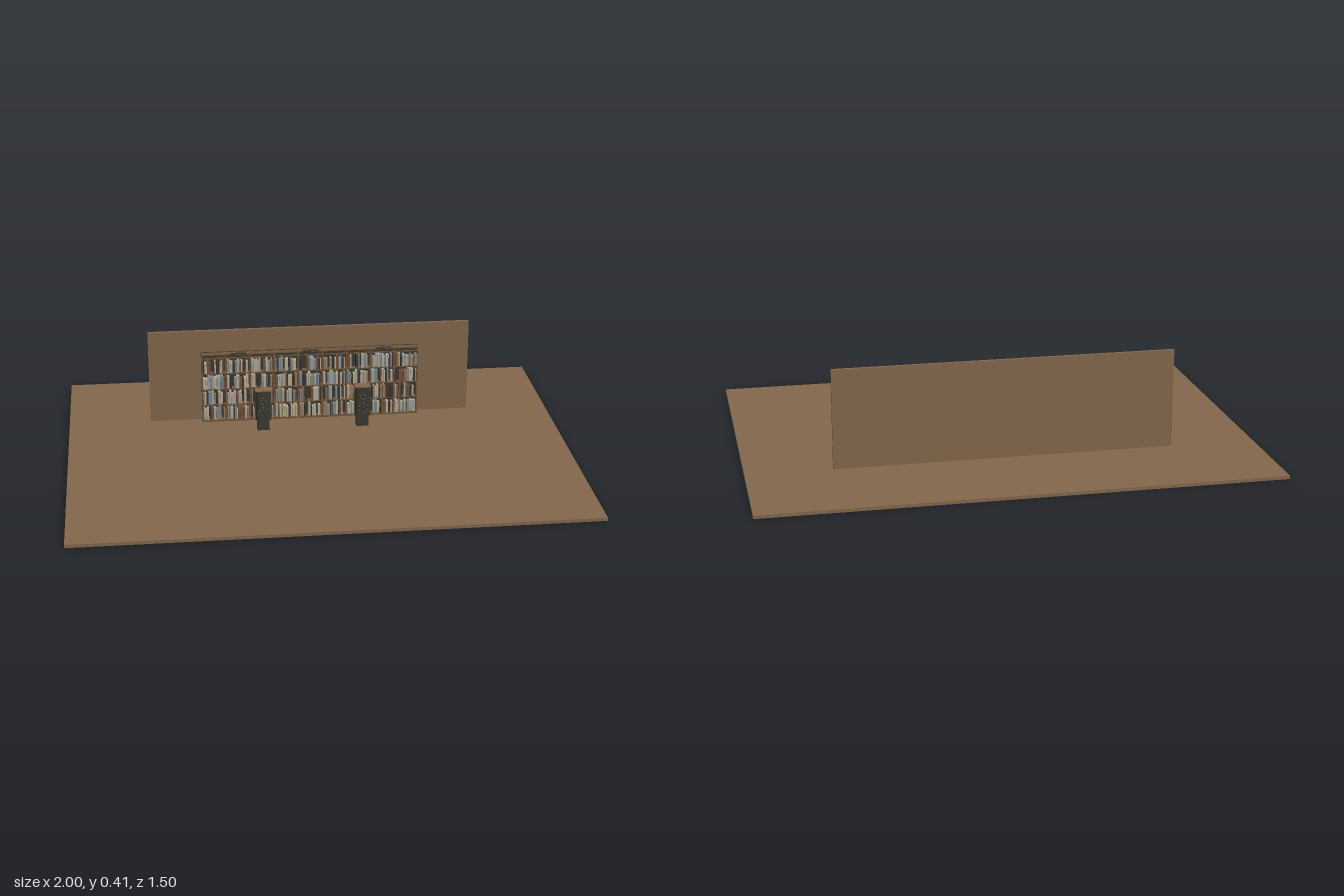
import * as THREE from 'three';
import { mergeGeometries } from 'three/addons/utils/BufferGeometryUtils.js';

const paint = (name, color) => {
  const m = new THREE.MeshStandardMaterial({ color });
  m.name = name;
  return m;
};

export function createModel() {
  const root = new THREE.Group();
  root.name = 'listeningRoom';
  const wood = paint('wood', 0x84684c);
  const shelfWood = paint('shelf wood', 0x765639);
  const dark = paint('charcoal', 0x3a3a32);
  const metal = paint('pale metal', 0xc8c8c0);
  const bookPaints = [
    paint('cream', 0xb9ab93), paint('grey blue', 0x7d8a8f), paint('leather brown', 0x75503a),
    paint('dark cloth', 0x3b3732), paint('light grey', 0xa3a199), paint('tan', 0x937859),
  ];

  const add = (parent, name, geo, mat, x = 0, y = 0, z = 0) => {
    const mesh = new THREE.Mesh(geo, mat);
    mesh.name = name;
    mesh.position.set(x, y, z);
    parent.add(mesh);
    return mesh;
  };
  // Box given by its minimum and maximum corners
  const span = (parent, name, mat, x0, x1, y0, y1, z0, z1) =>
    add(parent, name, new THREE.BoxGeometry(x1 - x0, y1 - y0, z1 - z0), mat,
      (x0 + x1) / 2, (y0 + y1) / 2, (z0 + z1) / 2);

  // Room
  const floorY = 0.013;
  span(root, 'floor', wood, -1, 1, 0, floorY, -0.75, 0.75);
  span(root, 'wall', wood, -0.665, 0.665, floorY, 0.405, -0.336, -0.323);

  // Bookcase frame: nine bays, four rows
  const shelves = new THREE.Group();
  shelves.name = 'bookcase';
  root.add(shelves);
  const bays = 9, rows = 4, bayW = 0.1, left = -0.45;
  const backZ = -0.323, frontZ = -0.289, firstY = 0.022, rowH = 0.069;
  span(shelves, 'backPanel', dark, left, -left, floorY, 0.312, backZ, -0.312);
  span(shelves, 'plinth', shelfWood, left, -left, floorY, firstY, -0.312, frontZ);
  span(shelves, 'cornice', dark, left, -left, 0.298, 0.308, -0.312, -0.291);
  span(shelves, 'topBoard', shelfWood, left, -left, 0.308, 0.313, -0.312, frontZ);
  for (let i = 0; i <= bays; i++) {
    const x = Math.max(left + 0.003, Math.min(-left - 0.003, left + i * bayW));
    span(shelves, 'upright', shelfWood, x - 0.003, x + 0.003, floorY, 0.314, -0.312, frontZ + 0.001);
  }
  for (let r = 1; r <= rows; r++) {
    const y = firstY + r * rowH;
    span(shelves, 'shelfBoard', shelfWood, left, -left, y - 0.005, y, -0.312, frontZ);
  }

  // Books, merged by cover colour
  let seed = 7;
  const rand = () => (seed = (seed * 16807) % 2147483647) / 2147483647;
  const piles = bookPaints.map(() => []);
  const weights = [0, 0, 0, 1, 1, 2, 2, 3, 3, 4, 4, 5];
  for (let b = 0; b < bays; b++) {
    for (let r = 0; r < rows; r++) {
      const end = left + (b + 1) * bayW - 0.005;
      let x = left + b * bayW + 0.005;
      while (x < end - 0.004) {
        const w = Math.min(0.005 + rand() * 0.006, end - x);
        const h = 0.042 + rand() * 0.016;
        const front = -0.294 + rand() * 0.009;
        const depth = front + 0.312;
        const colour = weights[Math.floor(rand() * weights.length)];
        if (rand() > 0.07) {
          const g = new THREE.BoxGeometry(w - 0.0007, h, depth);
          g.translate(x + w / 2, firstY + r * rowH + h / 2, front - depth / 2);
          piles[colour].push(g);
        }
        x += w;
      }
    }
  }
  piles.forEach((p, i) => add(shelves, 'books', mergeGeometries(p), bookPaints[i]));

  // Slim lamps over the bookcase
  for (const x of [-0.3, 0, 0.3]) {
    const lamp = new THREE.Group();
    lamp.name = 'shelfLamp';
    root.add(lamp);
    const bar = add(lamp, 'lampBar', new THREE.CylinderGeometry(0.003, 0.003, 0.065, 10), dark, x, 0.319, -0.277);
    bar.rotation.z = Math.PI / 2;
    span(lamp, 'lampArm', dark, x - 0.0015, x + 0.0015, 0.313, 0.317, -0.3, -0.277);
  }

  // Speaker cabinet outline with rounded corners, seen from above
  const hw = 0.032, zb = -0.223, zf = -0.176, rad = 0.009;
  const outline = new THREE.Shape();
  outline.moveTo(-hw, -zf);
  outline.lineTo(-hw, -zb - rad);
  outline.quadraticCurveTo(-hw, -zb, -hw + rad, -zb);
  outline.lineTo(hw - rad, -zb);
  outline.quadraticCurveTo(hw, -zb, hw, -zb - rad);
  outline.lineTo(hw, -zf);
  outline.closePath();
  // Curved front baffle
  const baffle = new THREE.Shape();
  baffle.moveTo(-hw, -zf);
  baffle.lineTo(hw, -zf);
  baffle.quadraticCurveTo(hw - 0.004, -zf - 0.007, hw - 0.014, -zf - 0.008);
  baffle.lineTo(-hw + 0.014, -zf - 0.008);
  baffle.quadraticCurveTo(-hw + 0.004, -zf - 0.007, -hw, -zf);
  const raise = (shape, height) => new THREE.ExtrudeGeometry(shape,
    { depth: height, bevelEnabled: false, curveSegments: 8 }).rotateX(-Math.PI / 2);

  for (const side of [-1, 1]) {
    const speaker = new THREE.Group();
    speaker.name = side > 0 ? 'leftSpeaker' : 'rightSpeaker';
    speaker.position.x = side * 0.205;
    root.add(speaker);
    span(speaker, 'stand', dark, -0.025, 0.025, floorY, 0.063, -0.218, -0.181);
    add(speaker, 'cabinet', raise(outline, 0.124), wood, 0, 0.063, 0);
    add(speaker, 'baffle', raise(baffle, 0.124), dark, 0, 0.063, 0);
    // Drivers: rim, cone dome and fixing screws
    for (const [y, r] of [[0.148, 0.012], [0.1, 0.019]]) {
      add(speaker, 'driverRim', new THREE.TorusGeometry(r, 0.0028, 8, 28), dark, 0, y, -0.167);
      const dome = add(speaker, 'driverDome', new THREE.SphereGeometry(r * 0.4, 16, 10), dark, 0, y, -0.168);
      dome.scale.z = 0.6;
      for (let k = 0; k < 6; k++) {
        const a = (k + 0.5) * Math.PI / 3;
        add(speaker, 'screw', new THREE.SphereGeometry(0.0016, 8, 6), metal,
          Math.cos(a) * r, y + Math.sin(a) * r, -0.1645);
      }
    }
  }
  return root;
}
